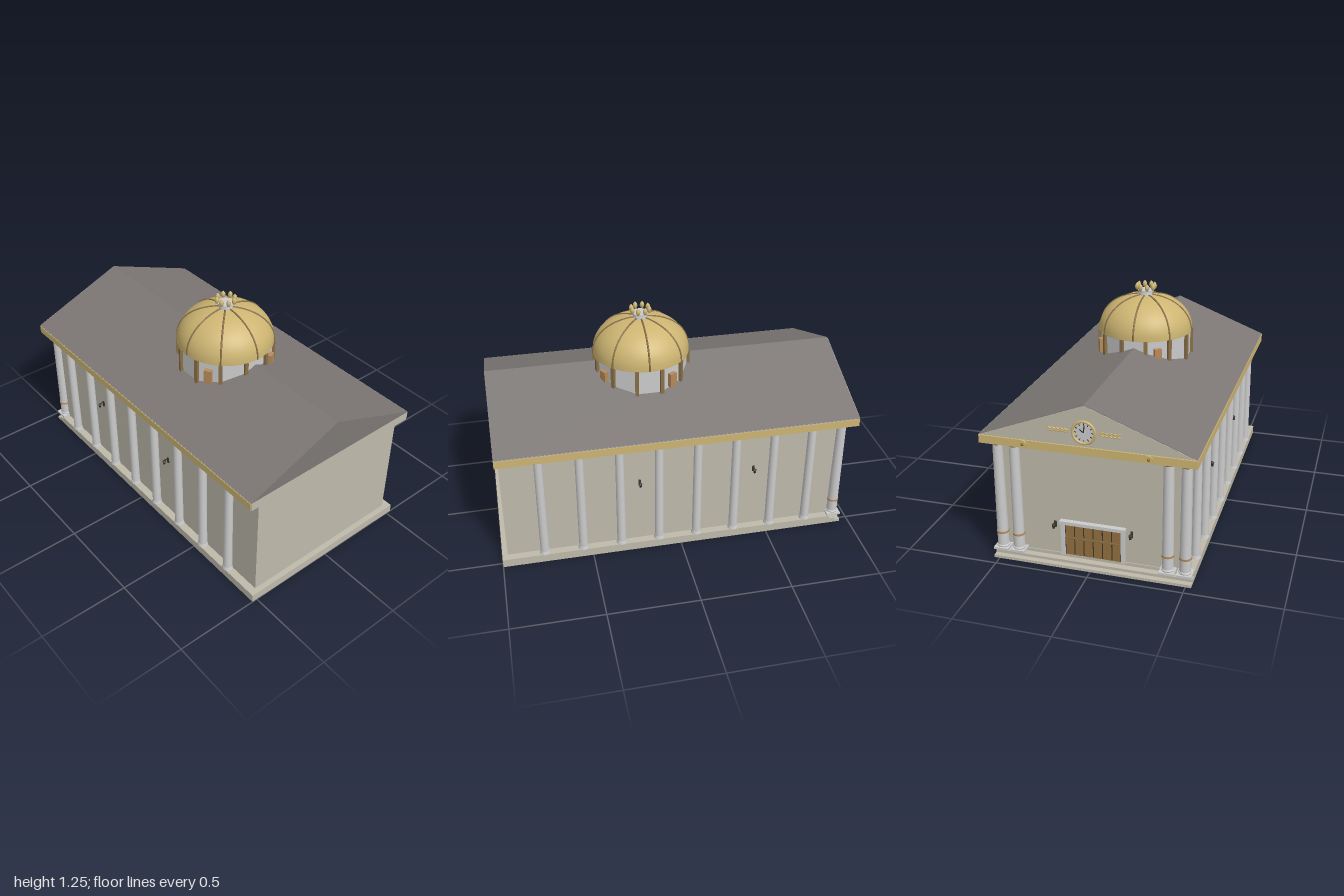
import * as THREE from 'three';

const mat = (color, opts = {}) => new THREE.MeshStandardMaterial({ color, ...opts });

export function createModel() {
  const model = new THREE.Group();
  const stone = mat(0xbfbaab), pale = mat(0xcccccc), slate = mat(0x7d7875), gold = mat(0xcdb572);
  const bronze = mat(0x8a7048), dark = mat(0x3a3630), wood = mat(0x94703f), copper = mat(0xb58a5a);
  const drumStone = mat(0xcccccc, { flatShading: true });

  const add = (parent, name, geo, material, x = 0, y = 0, z = 0) => {
    const m = new THREE.Mesh(geo, material);
    m.name = name;
    m.position.set(x, y, z);
    parent.add(m);
    return m;
  };
  // box given by its extents
  const block = (parent, name, material, x0, x1, y0, y1, z0, z1) =>
    add(parent, name, new THREE.BoxGeometry(x1 - x0, y1 - y0, z1 - z0), material,
      (x0 + x1) / 2, (y0 + y1) / 2, (z0 + z1) / 2);
  const group = (parent, name, x = 0, y = 0, z = 0, ry = 0) => {
    const g = new THREE.Group();
    g.name = name;
    g.position.set(x, y, z);
    g.rotation.y = ry;
    parent.add(g);
    return g;
  };
  const prism = (pts, depth) => new THREE.ExtrudeGeometry(
    new THREE.Shape(pts.map(p => new THREE.Vector2(...p))), { depth, bevelEnabled: false });

  // stepped base and main hall
  [[0, 0.015, -0.95], [0.015, 0.03, -0.92], [0.03, 0.048, -0.885]].forEach(([y0, y1, z]) =>
    block(model, 'baseStep', stone, -0.53, 0.53, y0, y1, z, 1));
  block(model, 'hallWalls', stone, -0.487, 0.487, 0.048, 0.675, -0.88, 0.97);

  // entablature with gold bands on the sides and back
  add(model, 'entablature', prism([[-0.55, 0.673], [0.55, 0.673], [0.554, 0.69], [0.554, 0.725],
    [-0.554, 0.725], [-0.554, 0.69]], 1.965), stone, 0, 0, -0.975);
  for (const s of [-1, 1])
    add(model, 'sideBand', new THREE.BoxGeometry(0.006, 0.042, 1.965), gold, s * 0.554, 0.698, 0.005);
  block(model, 'backBand', gold, -0.556, 0.556, 0.677, 0.719, -0.983, -0.975);

  // gabled roof and back pediment face
  add(model, 'roof', prism([[-0.556, 0.724], [0.556, 0.724], [0, 0.94]], 1.972), slate, 0, 0, -0.982);
  add(model, 'pediment', prism([[-0.548, 0.725], [0.548, 0.725], [0, 0.937]], 0.004), stone, 0, 0, -0.985);

  // engaged side columns
  for (const s of [-1, 1])
    for (let i = 0; i < 8; i++) {
      const c = group(model, 'sideColumn', s * 0.505, 0, 0.765 - i * 0.2144);
      add(c, 'shaft', new THREE.CylinderGeometry(0.023, 0.025, 0.61, 20), pale, 0, 0.37, 0);
      add(c, 'columnFoot', new THREE.CylinderGeometry(0.026, 0.03, 0.018, 20), pale, 0, 0.057, 0);
    }

  // paired porch columns at the back corners
  for (const x of [-0.49, -0.4, 0.4, 0.49]) {
    const c = group(model, 'porchColumn', x, 0, -0.91);
    add(c, 'plinth', new THREE.BoxGeometry(0.08, 0.012, 0.08), pale, 0, 0.056, 0);
    const foot = add(c, 'columnFoot', new THREE.TorusGeometry(0.028, 0.007, 8, 24), pale, 0, 0.068, 0);
    foot.rotation.x = Math.PI / 2;
    add(c, 'shaft', new THREE.CylinderGeometry(0.026, 0.03, 0.6, 24), pale, 0, 0.36, 0);
    add(c, 'shaftRing', new THREE.CylinderGeometry(0.0325, 0.0325, 0.01, 24), copper, 0, 0.147, 0);
    add(c, 'capitalNeck', new THREE.CylinderGeometry(0.036, 0.027, 0.014, 24), copper, 0, 0.656, 0);
    add(c, 'capital', new THREE.BoxGeometry(0.08, 0.012, 0.08), copper, 0, 0.668, 0);
  }

  // back doorway; this group faces backwards
  const door = group(model, 'doorway', 0, 0.048, -0.88, Math.PI);
  block(door, 'doorRecess', dark, -0.155, 0.155, 0, 0.185, 0, 0.006);
  for (const s of [-1, 1])
    add(door, 'doorJamb', new THREE.BoxGeometry(0.018, 0.2, 0.024), pale, s * 0.161, 0.1, 0.012);
  block(door, 'doorLintel', pale, -0.175, 0.175, 0.182, 0.2, 0, 0.028);
  for (let i = 0; i < 6; i++)
    add(door, 'doorPanel', new THREE.BoxGeometry(0.042, 0.175, 0.01), wood, -0.125 + i * 0.05, 0.09, 0.008);
  block(door, 'doorRail', bronze, -0.15, 0.15, 0.098, 0.106, 0.006, 0.016);

  // wall lanterns
  const lantern = (x, y, z, ry) => {
    const l = group(model, 'wallLantern', x, y, z, ry);
    add(l, 'wallPlate', new THREE.BoxGeometry(0.012, 0.035, 0.006), dark, 0, 0, 0.003);
    add(l, 'bracket', new THREE.BoxGeometry(0.005, 0.005, 0.032), dark, 0, 0.013, 0.016);
    add(l, 'lampBody', new THREE.CylinderGeometry(0.009, 0.006, 0.02, 6), dark, 0, -0.002, 0.03);
    add(l, 'lampCap', new THREE.ConeGeometry(0.011, 0.01, 6), dark, 0, 0.013, 0.03);
  };
  for (const s of [-1, 1]) {
    lantern(s * 0.205, 0.215, -0.88, Math.PI);
    for (const z of [0.227, -0.415]) lantern(s * 0.487, 0.43, z, s * Math.PI / 2);
  }

  // pediment clock with leaf sprays and rosettes, facing backwards
  const clock = group(model, 'clock', 0, 0.802, -0.985, Math.PI);
  add(clock, 'clockFace', new THREE.CylinderGeometry(0.055, 0.055, 0.006, 32), pale, 0, 0, 0.003)
    .rotation.x = Math.PI / 2;
  add(clock, 'clockRim', new THREE.TorusGeometry(0.057, 0.007, 8, 36), gold, 0, 0, 0.007);
  for (let i = 0; i < 12; i++) {
    const a = i * Math.PI / 6;
    add(clock, 'hourMark', new THREE.BoxGeometry(0.004, 0.01, 0.002), dark,
      0.043 * Math.sin(a), 0.043 * Math.cos(a), 0.007).rotation.z = -a;
  }
  for (const [len, a] of [[0.038, 0.1], [0.026, -0.9]])
    add(clock, 'clockHand', new THREE.BoxGeometry(0.005, len, 0.002), dark,
      Math.sin(a) * len / 2, Math.cos(a) * len / 2, 0.009).rotation.z = -a;
  for (const s of [-1, 1]) {
    const spray = group(clock, 'leafSpray');
    add(spray, 'stem', new THREE.BoxGeometry(0.105, 0.004, 0.006), gold, s * 0.13, 0, 0.003);
    for (let i = 0; i < 5; i++)
      for (const v of [-1, 1]) {
        const leaf = add(spray, 'leaf', new THREE.SphereGeometry(1, 10, 6), gold,
          s * (0.09 + i * 0.021), v * 0.006, 0.004);
        leaf.scale.set(0.012, 0.0045, 0.005);
        leaf.rotation.z = s * v * 0.45;
      }
    const rosette = group(model, 'rosette', s * 0.32, 0.7, -0.983, Math.PI);
    add(rosette, 'disc', new THREE.CylinderGeometry(0.02, 0.02, 0.008, 20), gold, 0, 0, 0.004)
      .rotation.x = Math.PI / 2;
    add(rosette, 'boss', new THREE.SphereGeometry(0.008, 12, 8), bronze, 0, 0, 0.008);
  }

  // drum with twelve posts and four windows
  const tower = group(model, 'domeTower', 0, 0, 0.122);
  add(tower, 'drum', new THREE.CylinderGeometry(0.26, 0.26, 0.26, 12, 1, false, Math.PI / 12),
    drumStone, 0, 0.855, 0);
  for (let i = 0; i < 12; i++) {
    const a = Math.PI / 12 + i * Math.PI / 6;
    add(tower, 'drumPost', new THREE.BoxGeometry(0.02, 0.26, 0.02), bronze,
      0.264 * Math.sin(a), 0.855, 0.264 * Math.cos(a)).rotation.y = a;
  }
  for (let i = 0; i < 4; i++) {
    const a = Math.PI / 6 + i * Math.PI / 2;
    add(tower, 'drumWindow', new THREE.BoxGeometry(0.042, 0.08, 0.04), copper,
      0.256 * Math.sin(a), 0.9, 0.256 * Math.cos(a)).rotation.y = a;
  }

  // dome shell and its eight ribs share one profile
  const profile = [];
  for (let i = 0; i <= 16; i++) {
    const t = i / 16 * Math.PI / 2;
    profile.push(new THREE.Vector2(0.268 * Math.max(0, Math.cos(t)) ** 0.92, 0.985 + 0.2 * Math.sin(t) ** 0.95));
  }
  add(tower, 'dome', new THREE.LatheGeometry(profile, 48), mat(0xcdb572, { side: THREE.DoubleSide }));
  add(tower, 'domeFloor', new THREE.CylinderGeometry(0.268, 0.268, 0.004, 48), gold, 0, 0.985, 0);
  const ribPath = new THREE.CatmullRomCurve3(profile.map(p => new THREE.Vector3(p.x, p.y, 0)));
  const ribGeo = new THREE.TubeGeometry(ribPath, 32, 0.005, 6);
  for (let i = 0; i < 8; i++) add(tower, 'domeRib', ribGeo, bronze).rotation.y = i * Math.PI / 4;

  // crown of buds on top
  add(tower, 'crownBase', new THREE.CylinderGeometry(0.036, 0.04, 0.03, 24), pale, 0, 1.192, 0);
  add(tower, 'crownRing', new THREE.CylinderGeometry(0.045, 0.045, 0.01, 24), pale, 0, 1.207, 0);
  const bud = new THREE.LatheGeometry([[0, -0.022], [0.008, -0.016], [0.013, -0.002], [0.011, 0.01], [0.005, 0.018],
    [0, 0.023]].map(p => new THREE.Vector2(...p)), 12);
  for (let i = 0; i < 8; i++) {
    const a = (i + 0.5) * Math.PI / 4;
    add(tower, 'crownBud', bud, gold, 0.05 * Math.sin(a), 1.231, 0.05 * Math.cos(a));
  }
  return model;
}
